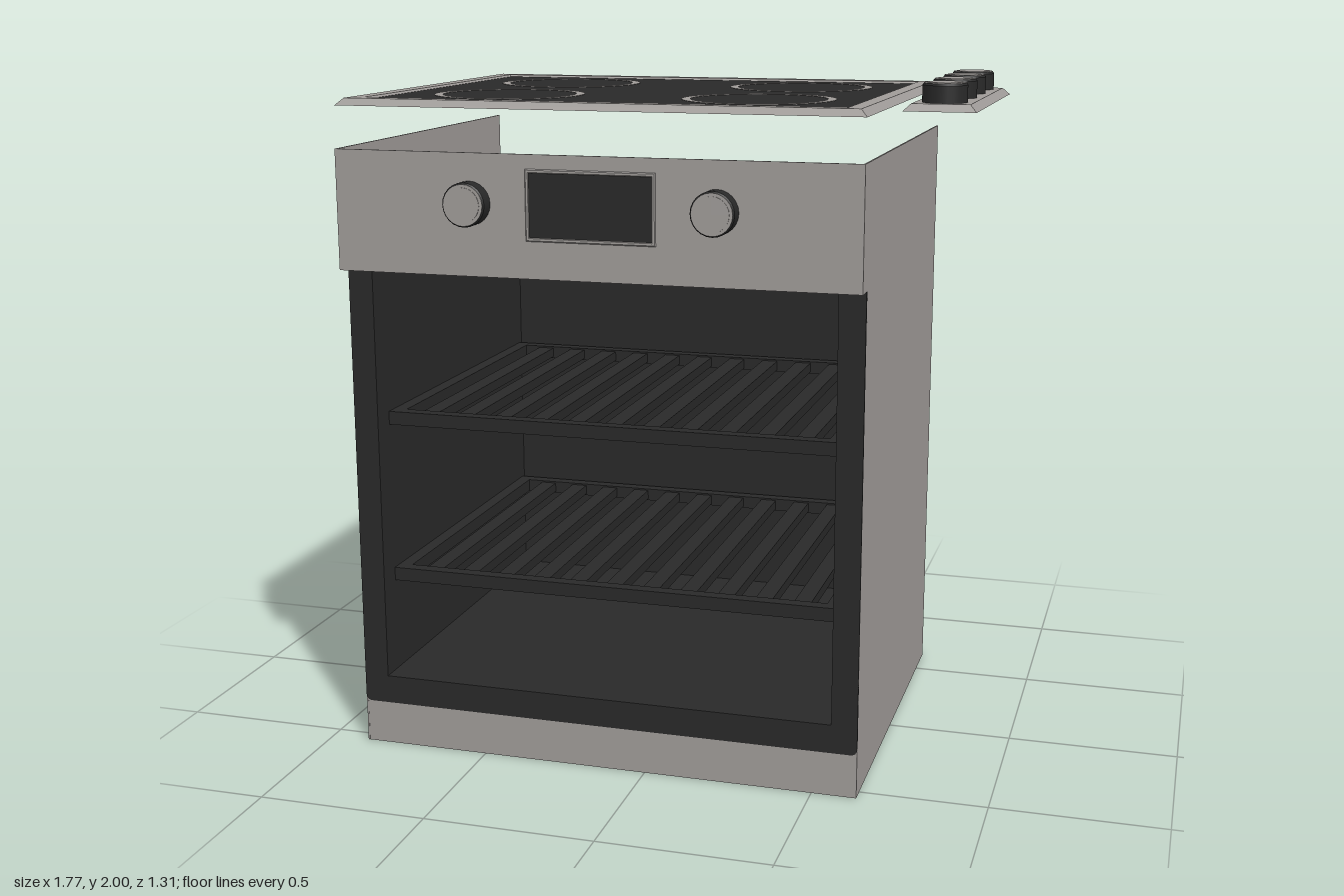
import * as THREE from 'three';

const steel = new THREE.MeshStandardMaterial({ color: 0xa09c99, side: THREE.DoubleSide });
steel.name = 'warm grey steel';
const black = new THREE.MeshStandardMaterial({ color: 0x292929, side: THREE.DoubleSide });
black.name = 'black enamel';

// Main extents of the cabinet and the oven cavity
const X0 = -0.884, X1 = 0.631, BACK = -0.632, FRONT = 0.54, TOP = 1.805, PANEL_Y = 1.46, PANEL_Z = 0.6;
const CX0 = -0.81, CX1 = 0.555, CY0 = 0.215;

function add(parent, name, geometry, material, x = 0, y = 0, z = 0) {
  const mesh = new THREE.Mesh(geometry, material);
  mesh.name = name;
  mesh.position.set(x, y, z);
  parent.add(mesh);
  return mesh;
}

// Box given by its extents along x, y and z
function block(parent, name, material, x0, x1, y0, y1, z0, z1) {
  return add(parent, name, new THREE.BoxGeometry(x1 - x0, y1 - y0, z1 - z0), material,
    (x0 + x1) / 2, (y0 + y1) / 2, (z0 + z1) / 2);
}

// Rectangular trim: walls between rectangles, each given as [inset, height]
function rectLoft(x0, x1, z0, z1, loops, cap) {
  const pos = [];
  const rings = loops.map(([i, y]) => [
    [x0 + i, y, z1 - i], [x1 - i, y, z1 - i], [x1 - i, y, z0 + i], [x0 + i, y, z0 + i]]);
  const quad = (a, b, c, d) => pos.push(...a, ...b, ...c, ...a, ...c, ...d);
  for (let k = 0; k < rings.length - 1; k++) {
    for (let i = 0; i < 4; i++) {
      const j = (i + 1) % 4;
      quad(rings[k][i], rings[k][j], rings[k + 1][j], rings[k + 1][i]);
    }
  }
  if (cap) quad(...rings[rings.length - 1]);
  const g = new THREE.BufferGeometry();
  g.setAttribute('position', new THREE.Float32BufferAttribute(pos, 3));
  g.computeVertexNormals();
  return g;
}

// Round knob standing on y = 0: black grip, bevelled rim and a steel face
function makeKnob(name) {
  const knob = new THREE.Group();
  knob.name = name;
  add(knob, 'knobGrip', new THREE.CylinderGeometry(0.062, 0.062, 0.047, 24), black, 0, 0.0235, 0);
  add(knob, 'knobRim', new THREE.CylinderGeometry(0.058, 0.062, 0.005, 24), black, 0, 0.0495, 0);
  add(knob, 'knobRing', new THREE.CylinderGeometry(0.058, 0.058, 0.0015, 24), steel, 0, 0.0525, 0);
  add(knob, 'knobFace', new THREE.CylinderGeometry(0.049, 0.049, 0.002, 24), steel, 0, 0.054, 0);
  return knob;
}

function makeCabinet() {
  const g = new THREE.Group();
  g.name = 'cabinet';
  // Side panels with the stepped control panel profile
  const side = new THREE.Shape([
    [BACK, 0], [0.545, 0], [0.537, PANEL_Y], [PANEL_Z, PANEL_Y], [PANEL_Z, TOP], [BACK, TOP],
  ].map(([z, y]) => new THREE.Vector2(z, y)));
  const sideGeo = new THREE.ExtrudeGeometry(side, { depth: 0.005, bevelEnabled: false });
  sideGeo.rotateY(-Math.PI / 2);
  add(g, 'leftSidePanel', sideGeo, steel, X1);
  add(g, 'rightSidePanel', sideGeo, steel, X0 + 0.005);
  block(g, 'basePlate', steel, X0, X1, 0, 0.005, BACK, FRONT);
  block(g, 'kickPlate', steel, X0, X1, 0, 0.135, FRONT - 0.005, FRONT + 0.004);
  block(g, 'controlPanel', steel, X0, X1, PANEL_Y, TOP, PANEL_Z - 0.006, PANEL_Z);
  block(g, 'controlPanelUnderside', steel, X0, X1, PANEL_Y, PANEL_Y + 0.005, FRONT - 0.01, PANEL_Z);
  return g;
}

function makeOven() {
  const g = new THREE.Group();
  g.name = 'oven';
  // Cavity: box without its front face
  const box = new THREE.BoxGeometry(CX1 - CX0, PANEL_Y - CY0, 0.615 + FRONT);
  box.setIndex(Array.from(box.index.array).filter((_, i) => i < 24 || i > 29));
  add(g, 'ovenCavity', box, black, (CX0 + CX1) / 2, (CY0 + PANEL_Y) / 2, (FRONT - 0.615) / 2);

  // U-shaped door surround with softened lower corners
  const r = 0.02, y0 = 0.13;
  const s = new THREE.Shape();
  s.moveTo(X0, PANEL_Y);
  s.lineTo(X0, y0 + r);
  s.quadraticCurveTo(X0, y0, X0 + r, y0);
  s.lineTo(X1 - r, y0);
  s.quadraticCurveTo(X1, y0, X1, y0 + r);
  s.lineTo(X1, PANEL_Y);
  s.lineTo(CX1, PANEL_Y);
  s.lineTo(CX1, CY0);
  s.lineTo(CX0, CY0);
  s.lineTo(CX0, PANEL_Y);
  add(g, 'doorSurround', new THREE.ExtrudeGeometry(s, { depth: 0.008, bevelEnabled: false, curveSegments: 4 }),
    black, 0, 0, FRONT - 0.002);

  // Two slatted shelves
  for (const y of [0.495, 0.98]) {
    const shelf = new THREE.Group();
    shelf.name = 'ovenShelf';
    const t = y + 0.04, z0 = -0.6, z1 = 0.47;
    block(shelf, 'shelfFrontRail', black, CX0, CX1, y, t, z1 - 0.04, z1);
    block(shelf, 'shelfBackRail', black, CX0, CX1, y, t, z0, z0 + 0.04);
    block(shelf, 'shelfRightRail', black, CX0, CX0 + 0.04, y, t, z0, z1);
    block(shelf, 'shelfLeftRail', black, CX1 - 0.04, CX1, y, t, z0, z1);
    for (let i = 1; i <= 11; i++) {
      const x = CX0 + (CX1 - CX0) * i / 12;
      block(shelf, 'shelfBar', black, x - 0.025, x + 0.025, y + 0.005, t - 0.005, z0, z1);
    }
    g.add(shelf);
  }
  return g;
}

function makeControls() {
  const g = new THREE.Group();
  g.name = 'frontControls';
  for (const x of [-0.48, 0.23]) {
    const knob = makeKnob('ovenKnob');
    knob.rotation.x = Math.PI / 2;
    knob.position.set(x, 1.665, PANEL_Z - 0.003);
    g.add(knob);
  }
  // Display with a shallow bevelled bezel
  const bezel = rectLoft(-0.315, 0.06, -1.765, -1.565,
    [[0, PANEL_Z], [0.003, PANEL_Z + 0.003], [0.009, PANEL_Z + 0.003], [0.012, PANEL_Z]], false);
  bezel.rotateX(Math.PI / 2);
  add(g, 'displayBezel', bezel, steel);
  block(g, 'displayScreen', black, -0.304, 0.049, 1.576, 1.754, PANEL_Z - 0.003, PANEL_Z + 0.002);
  return g;
}

function makeCooktop() {
  const g = new THREE.Group();
  g.name = 'cooktop';
  const yb = 1.925, yt = 1.945;
  add(g, 'cooktopFrame', rectLoft(X0, X1, -0.655, 0.59,
    [[0, yb], [0.02, yt], [0.062, yt], [0.07, 1.936], [0.07, 1.93], [0, yb]], false), steel);
  block(g, 'cooktopGlass', black, -0.815, 0.562, 1.931, 1.939, -0.587, 0.51);
  block(g, 'cooktopGlassTrim', steel, -0.815, 0.562, 1.931, 1.939, 0.51, 0.522);

  // Four cooking zone rings, just proud of the glass on both sides
  const ring = new THREE.Shape().absarc(0, 0, 0.22, 0, Math.PI * 2);
  ring.holes.push(new THREE.Path().absarc(0, 0, 0.195, 0, Math.PI * 2, true));
  const ringGeo = new THREE.ExtrudeGeometry(ring, { depth: 0.011, bevelEnabled: false, curveSegments: 24 });
  ringGeo.rotateX(-Math.PI / 2);
  for (const x of [-0.503, 0.25])
    for (const z of [-0.32, 0.218]) add(g, 'cookingZoneRing', ringGeo, steel, x, 1.9295, z);
  return g;
}

function makeCooktopControls() {
  const g = new THREE.Group();
  g.name = 'cooktopControls';
  add(g, 'knobPlate', rectLoft(0.684, 0.884, -0.385, 0.37,
    [[0.1, 1.925], [0, 1.925], [0.02, 1.945]], true), steel);
  for (let i = 0; i < 4; i++) {
    const knob = makeKnob('cooktopKnob');
    knob.position.set(0.784, 1.945, -0.29 + i * 0.188);
    g.add(knob);
  }
  return g;
}

export function createModel() {
  const model = new THREE.Group();
  model.name = 'cooker';
  model.add(makeCabinet(), makeOven(), makeControls(), makeCooktop(), makeCooktopControls());
  return model;
}
